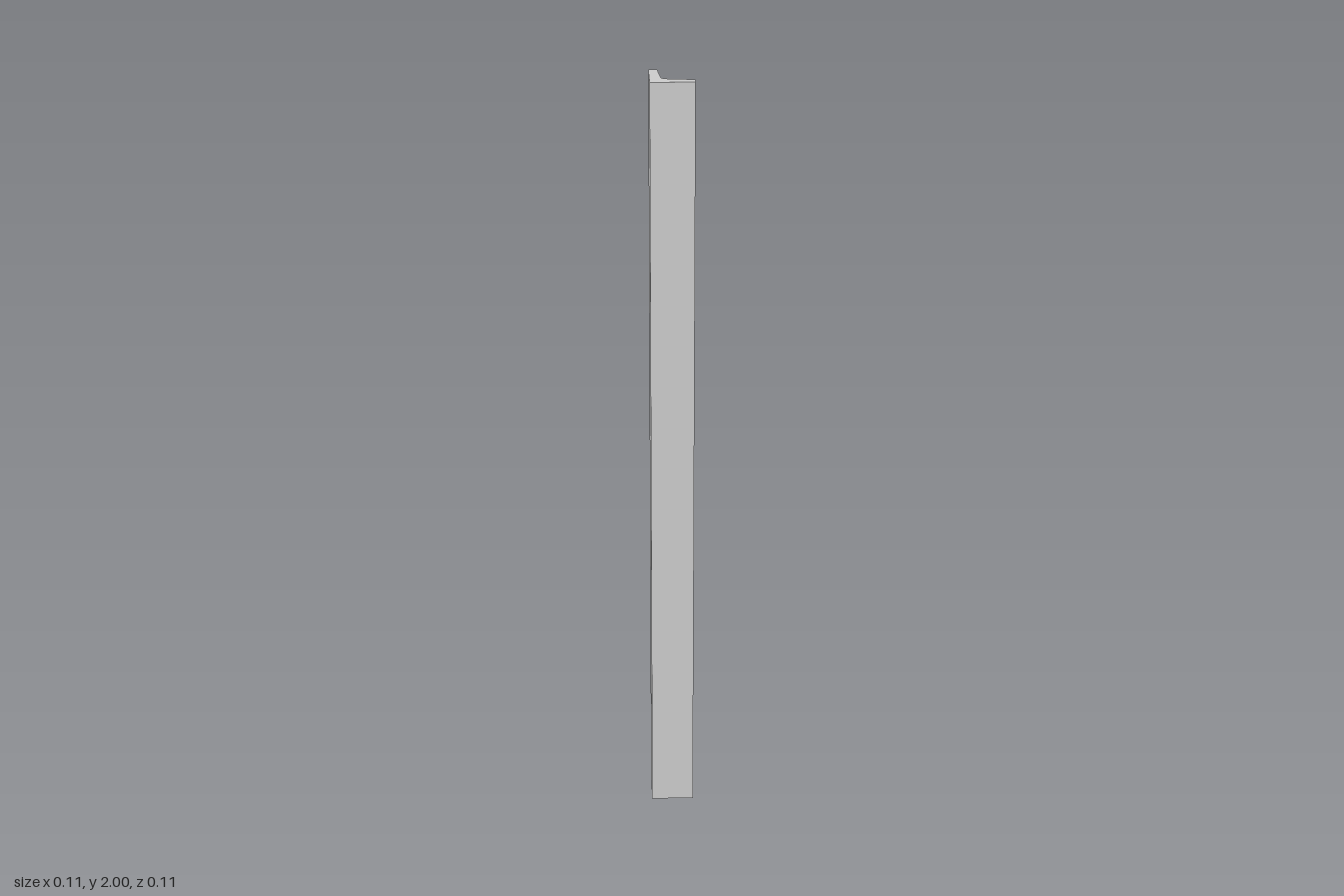
import * as THREE from 'three';
import { toCreasedNormals } from 'three/addons/utils/BufferGeometryUtils.js';

export function createModel() {
  const group = new THREE.Group();
  group.name = 'angleBar';
  const height = 2, half = 0.055;

  // L-shaped section with tapered legs and a filleted inner corner (shape y = -z)
  const section = new THREE.Shape();
  section.moveTo(-half, -half);
  section.lineTo(half, -half);
  section.lineTo(half, -0.034);
  section.lineTo(-0.015, -0.025);
  section.quadraticCurveTo(-0.026, -0.023, -0.0275, -0.012);
  section.lineTo(-0.034, half);
  section.lineTo(-half, half);
  section.closePath();

  // Stand the extrusion upright, keeping only the fillet smooth
  const extrusion = new THREE.ExtrudeGeometry(section, { depth: height, bevelEnabled: false, curveSegments: 8 });
  extrusion.rotateX(-Math.PI / 2);
  const bar = new THREE.Mesh(
    toCreasedNormals(extrusion, Math.PI / 6),
    new THREE.MeshStandardMaterial({ color: 0xcccccc })
  );
  bar.name = 'taperedAngleProfile';
  group.add(bar);
  return group;
}
